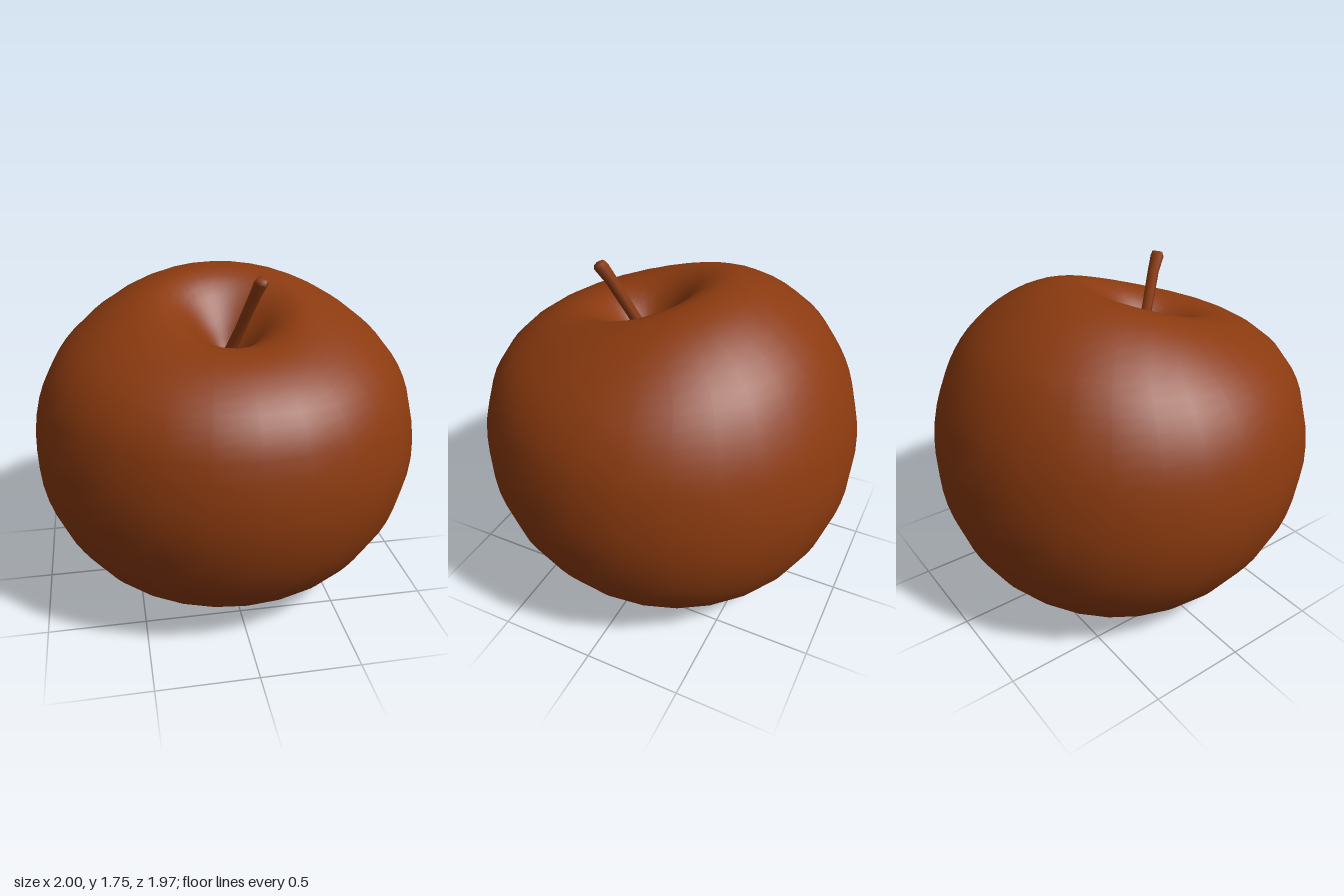
import * as THREE from 'three';

const V = (x, y, z) => new THREE.Vector3(x, y, z);

// Skin a list of closed rings (bottom to top) with shared, smooth vertices
function loft(rings) {
  const n = rings[0].length, pos = [], idx = [];
  rings.forEach(r => r.forEach(p => pos.push(p.x, p.y, p.z)));
  for (let i = 0; i < rings.length - 1; i++) {
    for (let j = 0; j < n; j++) {
      const a = i * n + j, c = i * n + (j + 1) % n;
      idx.push(a, a + n, c, c, a + n, c + n);
    }
  }
  const g = new THREE.BufferGeometry();
  g.setAttribute('position', new THREE.Float32BufferAttribute(pos, 3));
  g.setIndex(idx);
  g.computeVertexNormals();
  return g;
}

// Each row pairs a front and a back point of the profile, then the width factor:
// front z, front y, back z, back y, width
const PROFILE = [
  [-0.11, 0.15, -0.12, 0.15, 1],
  [0.00, 0.12, -0.23, 0.13, 1.1],
  [0.08, 0.05, -0.32, 0.06, 1.15],
  [0.18, 0.01, -0.42, 0.025, 1.15],
  [0.34, 0.03, -0.53, 0.04, 1.1],
  [0.54, 0.09, -0.65, 0.10, 1.05],
  [0.69, 0.19, -0.75, 0.19, 1.02],
  [0.81, 0.32, -0.85, 0.32, 1.01],
  [0.92, 0.52, -0.94, 0.53, 1.02],
  [0.985, 0.81, -0.98, 0.80, 1.02],
  [0.945, 1.12, -0.94, 1.09, 1.02],
  [0.85, 1.29, -0.85, 1.31, 1.02],
  [0.71, 1.40, -0.72, 1.49, 1.02],
  [0.56, 1.465, -0.48, 1.655, 1.03],
  [0.43, 1.49, -0.26, 1.70, 1.05],
  [0.32, 1.46, -0.11, 1.63, 1.1],
  [0.23, 1.37, 0.01, 1.47, 1.1],
  [0.18, 1.30, 0.07, 1.35, 1],
  [0.13, 1.27, 0.12, 1.27, 1],
];

function fruitGeometry() {
  const front = new THREE.CatmullRomCurve3(PROFILE.map(p => V(p[4], p[1], p[0])));
  const back = new THREE.CatmullRomCurve3(PROFILE.map(p => V(p[4], p[3], p[2])));
  const rings = [], steps = 54, sides = 28;
  for (let i = 0; i <= steps; i++) {
    const f = front.getPoint(i / steps), b = back.getPoint(i / steps);
    const mid = f.clone().add(b).multiplyScalar(0.5);
    const r = (f.z - b.z) / 2, rise = (f.y - b.y) / 2;
    const ring = [];
    for (let j = 0; j < sides; j++) {
      const t = j / sides * Math.PI * 2, s = Math.sin(t);
      const x = r * mid.x * Math.cos(t), z = mid.z + r * s;
      // shallow groove running forward from the stem hollow
      const groove = mid.y > 1.2
        ? 0.055 * Math.exp(-((x / 0.2) ** 2) - ((z - 0.33) / 0.16) ** 2) : 0;
      ring.push(V(x, mid.y + rise * s - groove, z));
    }
    rings.push(ring);
  }
  return loft(rings);
}

// Stem: six-sided rings of x, y, z, radius along a bent line, flared at the tip
function stemGeometry() {
  const line = [
    [-0.03, 1.24, 0.12, 0.05], [-0.015, 1.31, 0.15, 0.032], [0.04, 1.47, 0.21, 0.027],
    [0.095, 1.66, 0.295, 0.029], [0.115, 1.73, 0.335, 0.034],
    [0.12, 1.75, 0.34, 0.026], [0.12, 1.75, 0.34, 0.001],
  ];
  return loft(line.map(([x, y, z, r]) => Array.from({ length: 6 }, (_, j) => {
    const t = j / 6 * Math.PI * 2;
    const dx = r * Math.cos(t), dz = r * Math.sin(t);
    return V(x + dx, y - 0.25 * dx - 0.35 * dz, z + dz);
  })));
}

export function createModel() {
  const model = new THREE.Group();
  model.name = 'fruit';
  const russet = new THREE.MeshStandardMaterial({ color: 0x8b3a0f });
  russet.name = 'russet brown';

  const add = (name, geometry, parent = model) => {
    const m = new THREE.Mesh(geometry, russet);
    m.name = name;
    parent.add(m);
    return m;
  };

  add('body', fruitGeometry());
  add('stem', stemGeometry());

  // Dried sepals folded inside the lower hollow
  const calyx = new THREE.Group();
  calyx.name = 'calyx';
  calyx.position.set(0, 0.1, -0.115);
  for (let i = 0; i < 5; i++) {
    const arm = new THREE.Group();
    arm.rotation.y = i / 5 * Math.PI * 2;
    const sepal = add('sepal', new THREE.ConeGeometry(0.045, 0.11, 5), arm);
    sepal.scale.z = 0.35;
    sepal.position.set(0, 0, 0.075);
    sepal.rotation.x = Math.PI + 0.7;
    calyx.add(arm);
  }
  model.add(calyx);
  return model;
}
